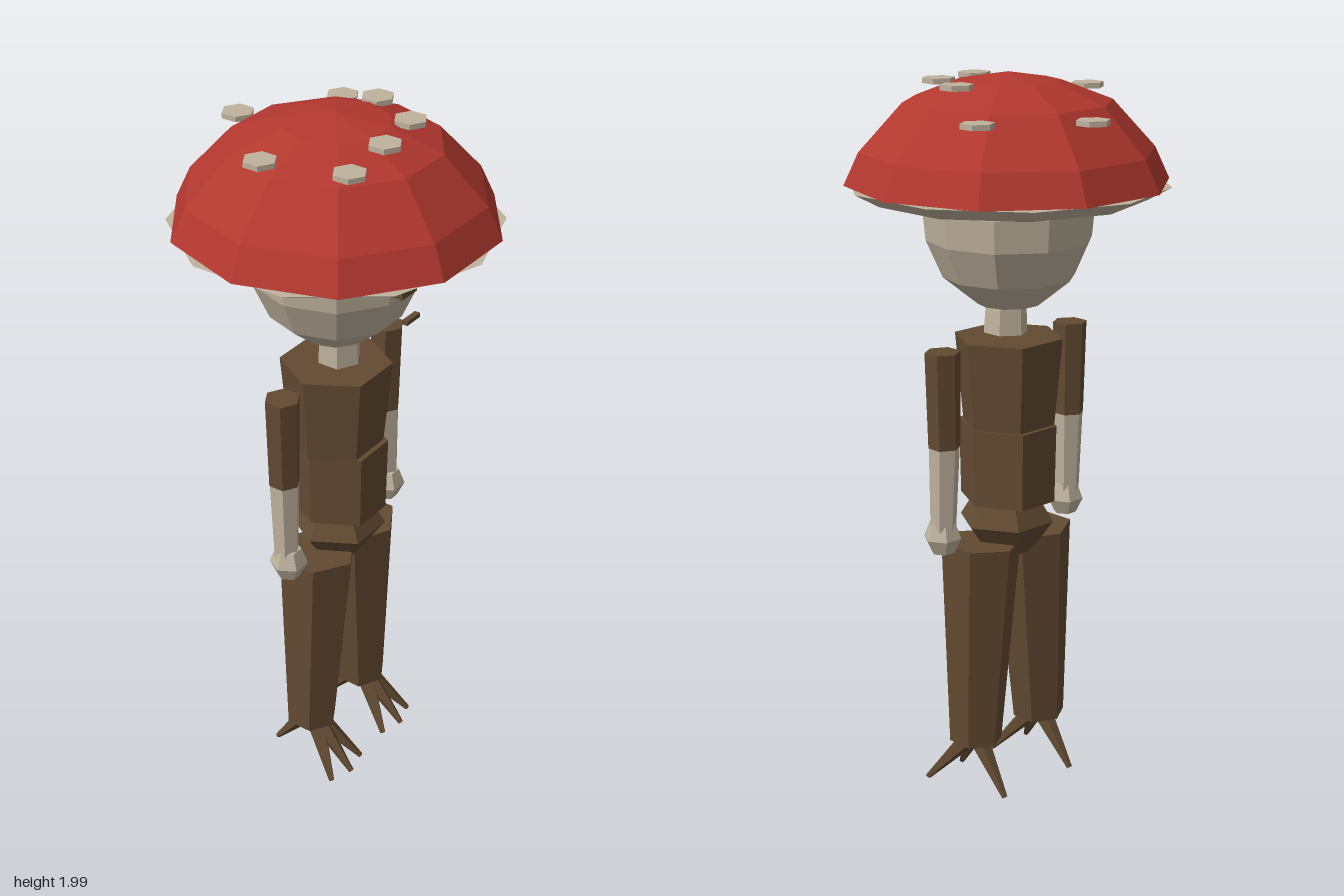
import * as THREE from 'three';

const mat = (name, color, extra = {}) => {
  const m = new THREE.MeshStandardMaterial({ color, flatShading: true, ...extra });
  m.name = name;
  return m;
};

export function createModel() {
  const red = mat('cap red', 0xb2382f, { side: THREE.DoubleSide });
  const bone = mat('pale flesh', 0xbfb29e);
  const brown = mat('bark brown', 0x624a32);
  const root = new THREE.Group();
  root.name = 'mushroomFigure';

  const add = (name, geo, material, x = 0, y = 0, z = 0) => {
    const m = new THREE.Mesh(geo, material);
    m.name = name;
    m.position.set(x, y, z);
    root.add(m);
    return m;
  };

  const lathe = (pts, sides, start = 0) =>
    new THREE.LatheGeometry(pts.map(p => new THREE.Vector2(...p)), sides, start);

  // Tapered prism running between two points
  const limb = (name, material, a, b, rA, rB, sides = 6) => {
    const from = new THREE.Vector3(...a), to = new THREE.Vector3(...b);
    const dir = to.clone().sub(from);
    const m = add(name, new THREE.CylinderGeometry(rB, rA, dir.length(), sides), material);
    m.position.copy(from).add(to).multiplyScalar(0.5);
    m.quaternion.setFromUnitVectors(new THREE.Vector3(0, 1, 0), dir.normalize());
    return m;
  };

  // Cap with its pale underside
  add('cap', lathe([[0.43, 1.715], [0.39, 1.8], [0.275, 1.925], [0.14, 1.977], [0, 2]], 10, Math.PI / 2), red);
  add('capUnderside', new THREE.CylinderGeometry(0.43, 0.365, 0.035, 10), bone, 0, 1.695, 0);

  // Spots: x, y, z
  [[0.03, 1.905, -0.33], [0.275, 1.905, -0.175], [-0.25, 1.95, -0.045], [0.18, 1.975, 0],
    [-0.185, 1.95, 0.17], [-0.045, 1.975, 0.175], [0.11, 1.975, 0.145]].forEach(([x, y, z]) =>
    add('capSpot', new THREE.CylinderGeometry(0.044, 0.044, 0.014, 6), bone, x, y, z));

  // Head, neck and face
  add('head', lathe([[0, 1.385], [0.085, 1.39], [0.178, 1.465], [0.222, 1.565], [0.23, 1.65], [0.2, 1.75], [0, 1.8]], 10, Math.PI / 2),
    bone, -0.007, 0, 0.003);
  limb('neck', bone, [0, 1.31, 0.01], [-0.003, 1.41, 0.01], 0.06, 0.055);
  for (const s of [-1, 1])
    add('eye', new THREE.BoxGeometry(0.063, 0.07, 0.038), brown, s * 0.098, 1.662, 0.27);
  add('mouth', new THREE.BoxGeometry(0.058, 0.012, 0.016), brown, 0, 1.5, 0.232);

  // Torso
  add('chest', new THREE.CylinderGeometry(0.15, 0.128, 0.245, 6, 1, false, Math.PI / 6), brown, -0.003, 1.178, 0.002);
  add('waist', new THREE.CylinderGeometry(0.127, 0.123, 0.215, 6, 1, false, Math.PI / 6), brown, 0, 0.953, 0.003)
    .scale.z = 1.13;
  add('pelvis', lathe([[0, 0.675], [0.07, 0.695], [0.132, 0.785], [0.095, 0.845], [0, 0.845]], 6, Math.PI / 6), brown, 0.003, 0, 0.003);

  for (const s of [-1, 1]) {
    // Arm
    limb('upperArm', brown, [s * 0.235, 1.04, 0], [s * 0.238, 1.3, 0], 0.043, 0.048);
    limb('forearm', bone, [s * 0.237, 0.81, 0.005], [s * 0.235, 1.045, 0], 0.035, 0.042);
    add('hand', lathe([[0, 0.735], [0.032, 0.743], [0.052, 0.785], [0.035, 0.83], [0, 0.838]], 6, Math.PI / 6), bone, s * 0.235, 0, 0.01);

    // Leg
    limb('leg', brown, [s * 0.125, 0.155, 0.002], [s * 0.098, 0.738, 0.005], 0.074, 0.111);

    // Root-like toes: three forward, one back
    for (const [x, z] of [[0.06, 0.13], [0.13, 0.147], [0.197, 0.125], [0.13, -0.12]])
      limb('toe', brown, [s * x, 0.017, z], [s * 0.126, 0.168, z > 0 ? 0.01 : -0.005], 0.008, 0.03, 5);
  }
  return root;
}
